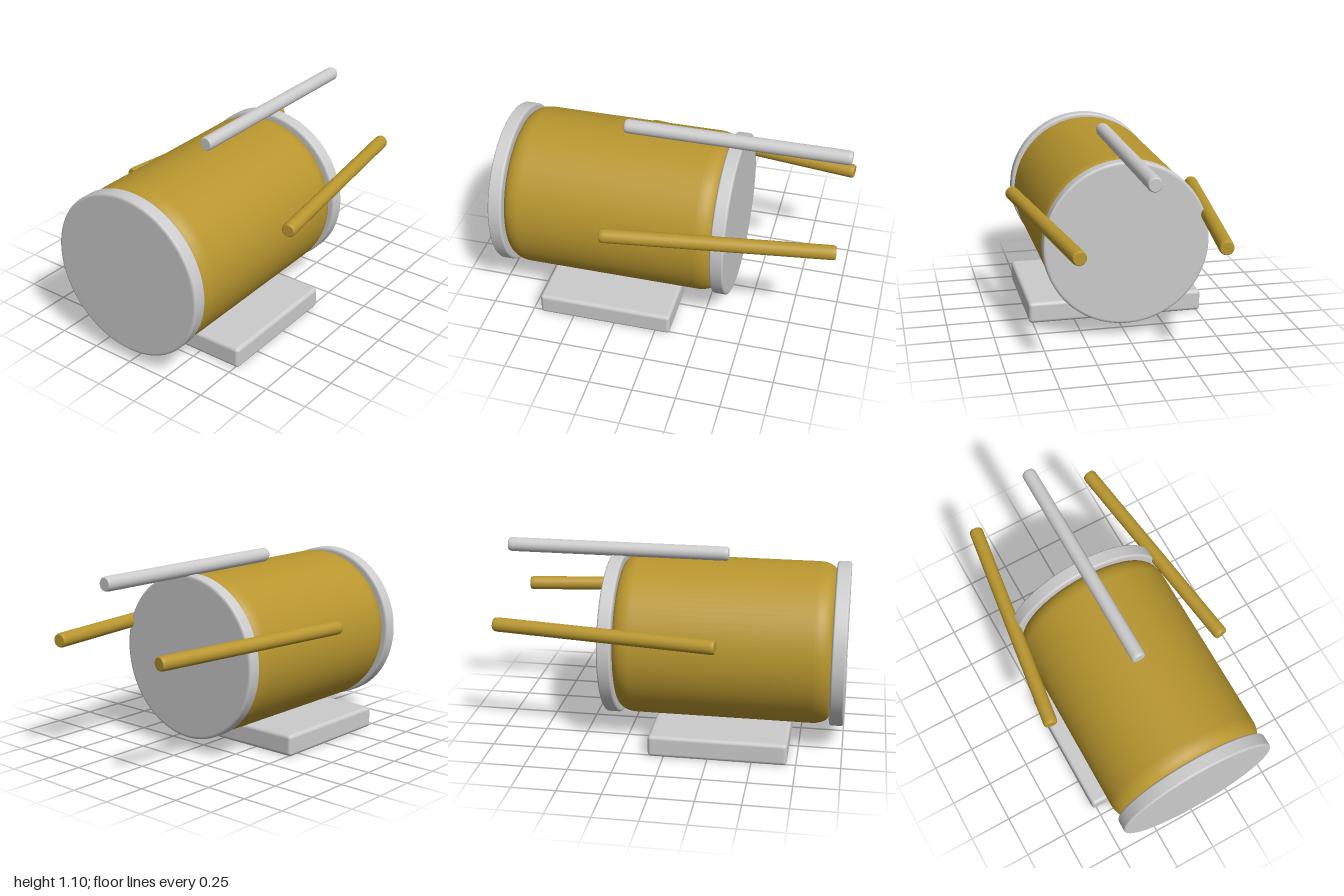
import * as THREE from 'three';
import { RoundedBoxGeometry } from 'three/addons/geometries/RoundedBoxGeometry.js';

const grey = new THREE.MeshStandardMaterial({ color: 0xcccccc });
const gold = new THREE.MeshStandardMaterial({ color: 0xb8962e });

// Cylinder between two points with rounded rims (br across, bl along the axis)
function roundedCylinder(name, material, from, to, radius, br, bl, segments) {
  const a = new THREE.Vector3(...from), b = new THREE.Vector3(...to);
  const half = a.distanceTo(b) / 2, steps = 8;
  const points = [new THREE.Vector2(0, -half)];
  for (const end of [-1, 1]) {
    for (let i = 0; i <= steps; i++) {
      const t = (end < 0 ? i : steps - i) / steps * Math.PI / 2;
      points.push(new THREE.Vector2(
        radius - br + br * Math.sin(t),
        end * (half - bl + bl * Math.cos(t))));
    }
  }
  points.push(new THREE.Vector2(0, half));
  const mesh = new THREE.Mesh(new THREE.LatheGeometry(points, segments), material);
  mesh.name = name;
  mesh.position.copy(a).add(b).multiplyScalar(0.5);
  mesh.quaternion.setFromUnitVectors(new THREE.Vector3(0, 1, 0), b.sub(a).normalize());
  return mesh;
}

export function createModel() {
  const group = new THREE.Group();
  group.name = 'barrelOnStand';
  const axisY = 0.557;

  // Barrel body and its two end discs
  group.add(roundedCylinder('barrel', gold, [0, axisY, -0.31], [0, axisY, 0.92], 0.47, 0.06, 0.1, 96));
  group.add(roundedCylinder('frontDisc', grey, [0, axisY, 0.917], [0, axisY, 1], 0.477, 0.018, 0.012, 96));
  group.add(roundedCylinder('backDisc', grey, [0, axisY, -0.387], [0, axisY, -0.305], 0.477, 0.018, 0.012, 96));

  // Rod along the top
  group.add(roundedCylinder('topRod', grey, [0, 1.066, -1], [0, 1.066, 0.3], 0.041, 0.008, 0.025, 32));

  // Splayed side rods
  for (const side of [1, -1]) {
    group.add(roundedCylinder(side > 0 ? 'leftRod' : 'rightRod', gold,
      [side * 0.386, 0.703, -0.993], [side * 0.559, 0.703, 0.295], 0.041, 0.008, 0.025, 32));
  }

  // Base slab
  const base = new THREE.Mesh(new RoundedBoxGeometry(1.045, 0.127, 0.79, 5, 0.022), grey);
  base.name = 'base';
  base.position.set(0, 0.0665, 0.305);
  group.add(base);

  return group;
}
